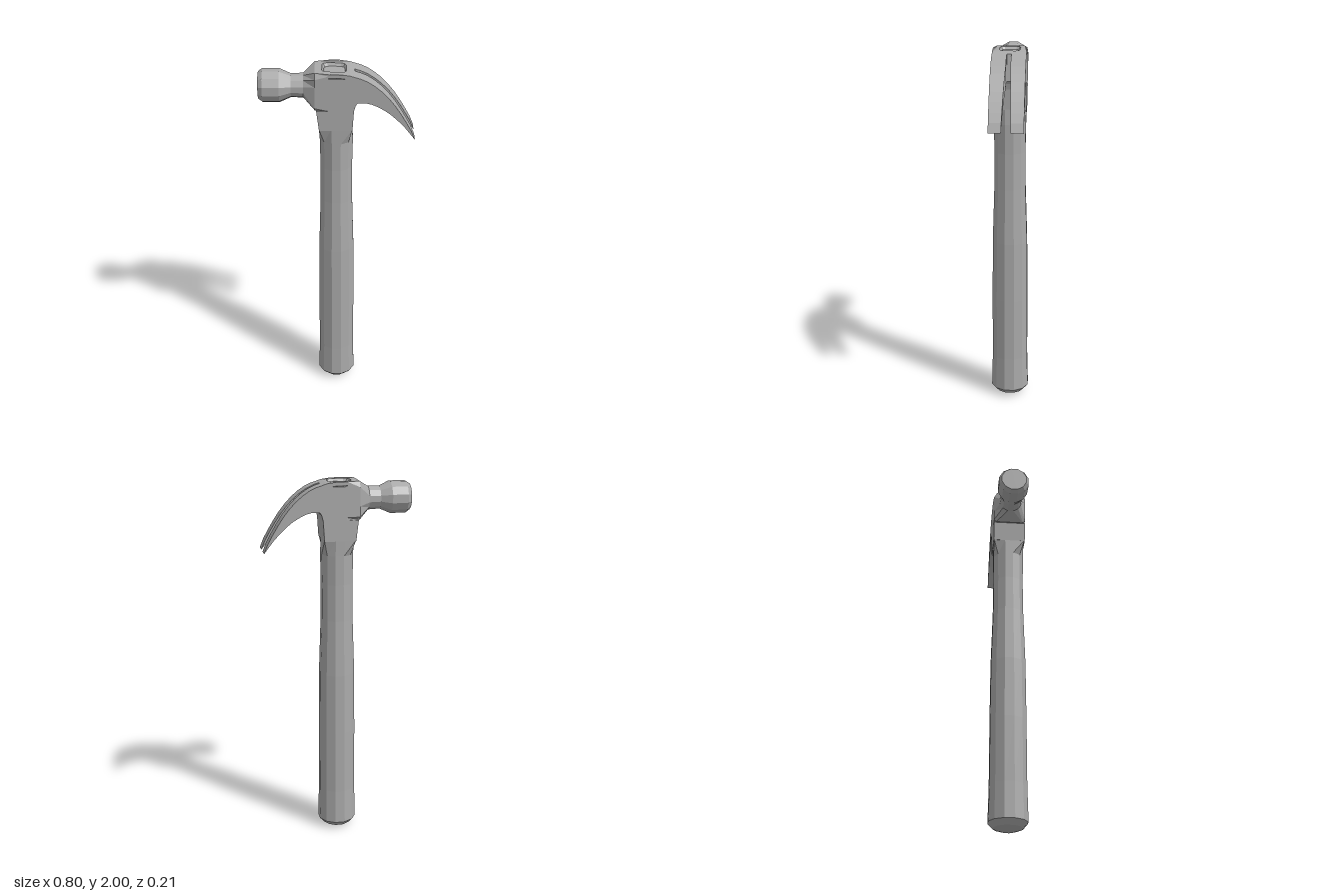
import * as THREE from 'three';

const STEEL = new THREE.MeshStandardMaterial({ color: 0xaaaaaa });
STEEL.name = 'plain grey';

const N = 12;
const CX = -0.007; // handle axis
const angle = k => (15 + 30 * k) * Math.PI / 180;
const HALF = 0.09; // half thickness of the head

// Faceted skin through rings of points; skip(i, j) leaves out single faces
function loft(rings, { start = true, end = true, skip = () => false } = {}) {
  const out = [];
  const tri = (...pts) => pts.forEach(p => out.push(...p));
  const middle = r => [0, 1, 2].map(a => r.reduce((s, p) => s + p[a], 0) / r.length);
  for (let i = 0; i < rings.length - 1; i++) {
    for (let j = 0; j < N; j++) {
      if (skip(i, j)) continue;
      const k = (j + 1) % N, [a, b, c, d] = [rings[i][j], rings[i][k], rings[i + 1][k], rings[i + 1][j]];
      tri(a, b, c, a, c, d);
    }
  }
  const first = rings[0], last = rings[rings.length - 1];
  for (let j = 0; j < N; j++) {
    const k = (j + 1) % N;
    if (start) tri(middle(first), first[k], first[j]);
    if (end) tri(middle(last), last[j], last[k]);
  }
  const g = new THREE.BufferGeometry();
  g.setAttribute('position', new THREE.Float32BufferAttribute(out, 3));
  g.computeVertexNormals();
  return g;
}

// Extrude a side profile and move every vertex by a rule
function slab(shape, depth, rule) {
  const g = new THREE.ExtrudeGeometry(shape, { depth, bevelEnabled: false });
  const p = g.attributes.position;
  for (let i = 0; i < p.count; i++) p.setXYZ(i, ...rule(p.getX(i), p.getY(i), p.getZ(i)));
  g.computeVertexNormals();
  return g;
}

const polygon = pts => new THREE.Shape(pts.map(p => new THREE.Vector2(...p)));

export function createModel() {
  const model = new THREE.Group();
  model.name = 'clawHammer';
  const add = (name, geometry) => {
    const m = new THREE.Mesh(geometry, STEEL);
    m.name = name;
    model.add(m);
  };

  // Twelve-sided handle with a rounded butt, flaring to a square under the head
  const handleRing = (y, flat) => Array.from({ length: N }, (_, k) => {
    const r = flat / Math.cos(Math.PI / 12);
    return [CX + r * Math.sin(angle(k)), y, r * Math.cos(angle(k))];
  });
  const squareRing = (y, hx, hz) => Array.from({ length: N }, (_, k) => {
    const s = Math.sin(angle(k)), c = Math.cos(angle(k)), m = Math.max(Math.abs(s), Math.abs(c));
    return [CX - 0.003 + hx * s / m, y, hz * c / m];
  });
  add('handle', loft([
    handleRing(0, 0.035), handleRing(0.015, 0.078), handleRing(0.045, 0.104),
    handleRing(0.24, 0.099), handleRing(0.6, 0.098), handleRing(0.94, 0.095),
    handleRing(1.25, 0.085), handleRing(1.45, 0.083), handleRing(1.61, 0.086),
    squareRing(1.695, 0.085, 0.088),
  ]));

  // Striking poll, neck and chamfered shoulder
  const pollRing = (x, flat) => Array.from({ length: N }, (_, k) => {
    const r = flat / Math.cos(Math.PI / 12);
    return [x, 1.902 + r * Math.cos(angle(k)), r * Math.sin(angle(k))];
  });
  const shoulderRing = (x, topZ, topY, bottomZ) => {
    const half = [[2, topZ], [topY, HALF], [1.93, HALF], [1.87, HALF], [1.815, HALF], [1.8, bottomZ]];
    return [...half.map(([y, z]) => [x, y, z]), ...half.reverse().map(([y, z]) => [x, y, -z])];
  };
  add('pollAndNeck', loft([
    pollRing(-0.4, 0.068), pollRing(-0.378, 0.083), pollRing(-0.293, 0.083),
    pollRing(-0.235, 0.058), pollRing(-0.173, 0.061),
    shoulderRing(-0.115, 0.073, 1.97, 0.078), shoulderRing(-0.045, HALF, 1.99, HALF),
  ], { end: false, skip: (i, j) => i === 5 && j === 11 }));

  // Head block around the eye
  add('headBody', slab(polygon([
    [-0.095, 1.69], [0.075, 1.69], [0.082, 1.8], [0.09, 1.83], [0.1, 1.845],
    [0.085, 1.985], [0.06, 1.993], [0.06, 1.975], [-0.045, 1.975], [-0.045, 1.8], [-0.108, 1.8],
  ]), 2 * HALF, (x, y, z) => [x, y, z - HALF]));

  // Top face pierced by the rounded square eye
  const eyeRing = (y, s) => Array.from({ length: N }, (_, k) => {
    const soft = v => Math.sign(v) * Math.abs(v) ** 0.4;
    return [-0.018 + 0.062 * s * soft(Math.sin(angle(k))), y, 0.055 * s * soft(Math.cos(angle(k)))];
  });
  const top = polygon([
    [-0.115, -0.073], [-0.045, -HALF], [0.01, -HALF], [0.06, -HALF],
    [0.06, HALF], [0.01, HALF], [-0.045, HALF], [-0.115, 0.073],
  ]);
  top.holes.push(new THREE.Path(eyeRing(0, 1).map(p => new THREE.Vector2(p[0], -p[2]))));
  add('topFace', slab(top, 0.02, (x, y, z) => [x, 1.98 + z - Math.max(0, x - 0.01) * 0.14, -y]));

  // Handle end seated in the eye
  add('eyePlug', loft([
    eyeRing(1.997, 1), eyeRing(1.982, 0.87), eyeRing(1.986, 0.77),
  ], { start: false }));

  // Two curved claw tines with a widening slot between them
  const claw = polygon([
    [0.1, 1.845], [0.14, 1.846], [0.17, 1.838], [0.2, 1.825], [0.24, 1.802], [0.275, 1.775],
    [0.31, 1.742], [0.345, 1.704], [0.395, 1.64],
    [0.375, 1.688], [0.35, 1.733], [0.32, 1.783], [0.29, 1.828], [0.255, 1.872], [0.22, 1.908],
    [0.185, 1.937], [0.15, 1.96], [0.115, 1.976], [0.085, 1.985],
  ]);
  const slot = x => 0.012 + 0.013 * Math.max(0, x - 0.2) / 0.195;
  add('leftClaw', slab(claw, 1, (x, y, z) => [x, y, z > 0.5 ? HALF : slot(x)]));
  add('rightClaw', slab(claw, 1, (x, y, z) => [x, y, z > 0.5 ? -slot(x) : -HALF]));

  return model;
}
